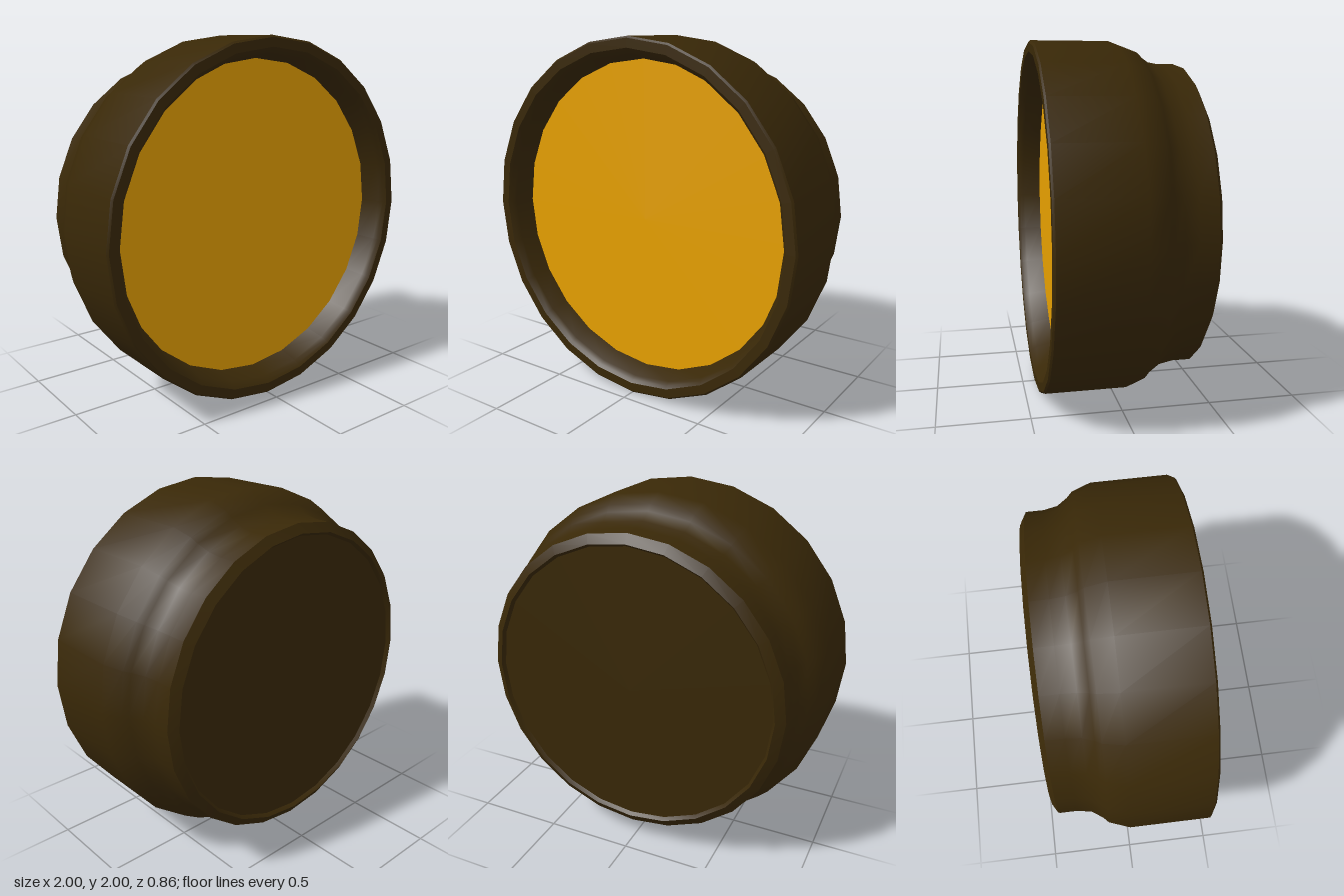
import * as THREE from 'three';
import { toCreasedNormals } from 'three/addons/utils/BufferGeometryUtils.js';

const SIDES = 24;

export function createModel() {
  const model = new THREE.Group();
  const brown = new THREE.MeshStandardMaterial({ color: 0x392807 });
  brown.name = 'dark bronze';
  const amber = new THREE.MeshStandardMaterial({ color: 0xe8a100 });
  amber.name = 'amber';

  const add = (name, geometry, material) => {
    const mesh = new THREE.Mesh(geometry, material);
    mesh.name = name;
    mesh.position.y = 1;
    model.add(mesh);
  };

  // Housing profile as [radius, z], from the back recess round to the front inner wall
  const profile = [
    [0.81, -0.41], [0.825, -0.43], [0.875, -0.4], // back lip
    [0.875, -0.3], [0.89, -0.22], [0.93, -0.16], [0.96, -0.13], [1, -0.02], // shoulder
    [1, 0.42], [0.99, 0.43], [0.94, 0.43], [0.925, 0.415], // front rim
    [0.91, 0.39], [0.88, 0.28], // inner wall
  ].map(([r, z]) => new THREE.Vector2(r, z));
  const housing = new THREE.LatheGeometry(profile, SIDES).rotateX(Math.PI / 2);
  add('housing', toCreasedNormals(housing, 0.62), brown);

  // Flat plate closing the back
  const back = new THREE.CircleGeometry(0.812, SIDES).rotateY(Math.PI).translate(0, 0, -0.41);
  add('backPlate', back, brown);

  // Recessed amber lens at the front
  add('lens', new THREE.CircleGeometry(0.882, SIDES).translate(0, 0, 0.284), amber);

  return model;
}
